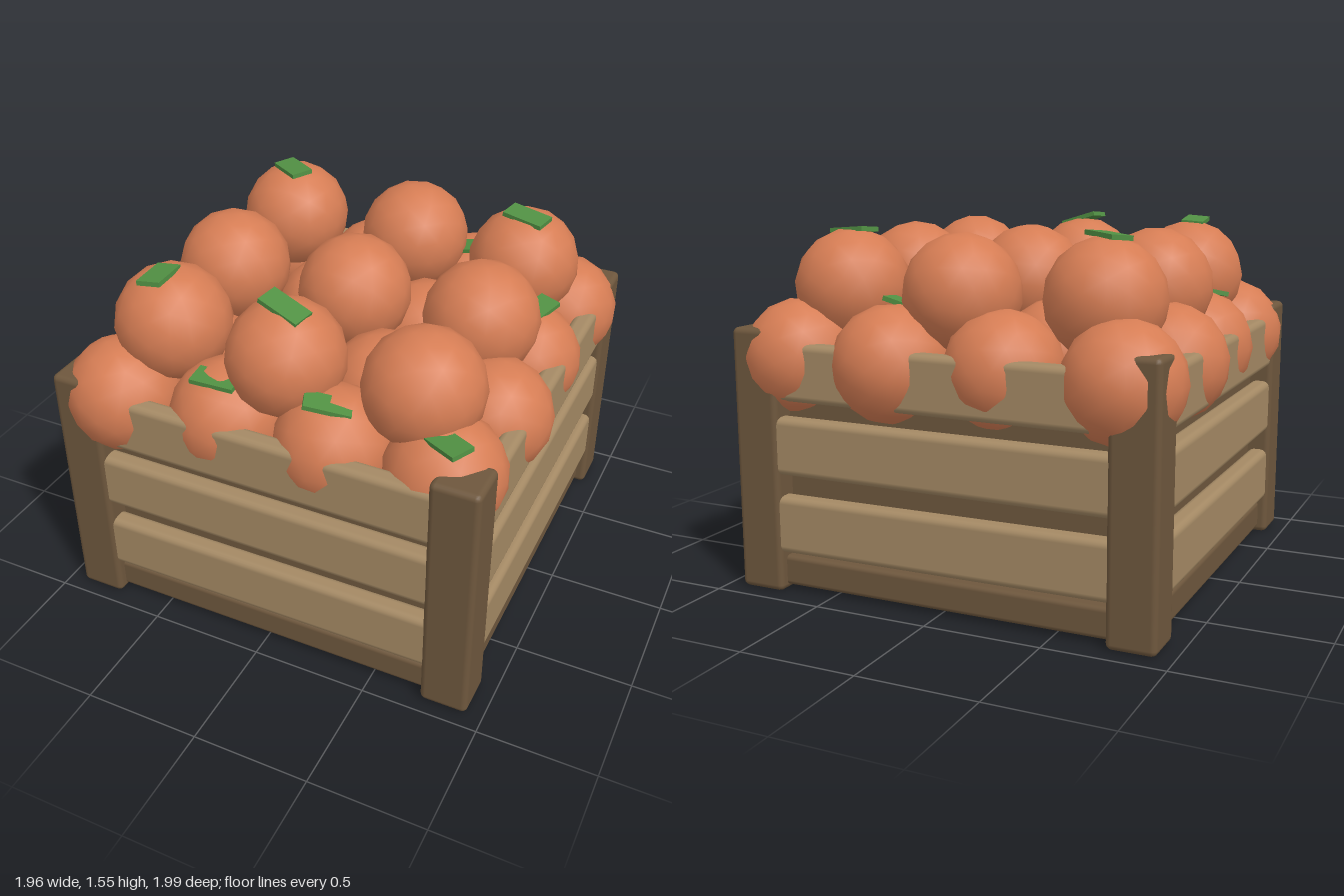
import * as THREE from 'three';
import { RoundedBoxGeometry } from 'three/addons/geometries/RoundedBoxGeometry.js';

const plankWood = new THREE.MeshStandardMaterial({ name: 'plank wood', color: 0xa48964 });
const postWood = new THREE.MeshStandardMaterial({ name: 'dark post wood', color: 0x6e573d });
const orangePeel = new THREE.MeshStandardMaterial({ name: 'orange peel', color: 0xd67d54 });
const leafGreen = new THREE.MeshStandardMaterial({ name: 'leaf green', color: 0x519043 });

function add(parent, name, geometry, material, x, y, z) {
  const mesh = new THREE.Mesh(geometry, material);
  mesh.name = name;
  mesh.position.set(x, y, z);
  parent.add(mesh);
  return mesh;
}

function buildCrate() {
  const crate = new THREE.Group();
  crate.name = 'crate';
  crate.position.z = 0.008;

  // Corner posts
  const post = new RoundedBoxGeometry(0.205, 1.12, 0.2, 2, 0.025);
  for (const sx of [-1, 1]) for (const sz of [-1, 1])
    add(crate, 'cornerPost', post, postWood, sx * 0.83, 0.56, sz * 0.832);

  // Floor slab and the dark lining seen between the planks
  add(crate, 'floor', new RoundedBoxGeometry(1.78, 0.13, 1.78, 2, 0.02), postWood, 0, 0.085, 0);
  add(crate, 'lining', new THREE.BoxGeometry(1.66, 0.72, 1.66), postWood, 0, 0.47, 0);

  // Three slightly crooked planks on each side
  const plank = new RoundedBoxGeometry(1.56, 0.245, 0.09, 2, 0.03);
  const tilts = [0.004, -0.003, -0.006];
  for (let side = 0; side < 4; side++) {
    const wall = new THREE.Group();
    wall.name = 'plankWall';
    wall.rotation.y = side * Math.PI / 2;
    [0.295, 0.627, 0.94].forEach((y, i) => {
      add(wall, 'plank', plank, plankWood, 0, y, 0.876).rotation.z = tilts[i] * (side % 2 ? -1 : 1);
    });
    crate.add(wall);
  }
  return crate;
}

// Fruit centres as [x, z]
const lowerLayer = [
  [-0.725, -0.74], [-0.21, -0.70], [0.27, -0.75], [0.725, -0.72],
  [-0.735, -0.23], [-0.25, -0.24], [0.24, -0.23], [0.705, -0.225],
  [-0.705, 0.25], [-0.24, 0.24], [0.25, 0.25], [0.735, 0.24],
  [-0.715, 0.745], [-0.24, 0.70], [0.235, 0.70], [0.70, 0.685],
];
const upperLayer = [
  [-0.58, -0.56], [0.025, -0.595], [0.57, -0.55],
  [-0.585, 0.02], [0, 0.01], [0.575, 0],
  [-0.565, 0.56], [-0.015, 0.61], [0.56, 0.58],
];

// Leaves as [x, y, z, heading in degrees, lengthwise tilt]
const leaves = [
  [-0.575, 1.515, -0.525, -35, 0.05], [0.58, 1.505, -0.52, -13, -0.08],
  [-0.57, 1.515, 0.63, -83, 0.08], [0, 1.51, 0.635, -12, -0.28],
  [0.24, 1.22, -0.66, 0, 0.25], [0.74, 1.22, -0.24, 70, 0.15],
  [-0.72, 1.225, 0.30, 38, 0.2], [-0.24, 1.225, 0.295, -17, 0.15],
  [-0.24, 1.2, 0.78, 2, 0], [0.245, 1.215, 0.77, 22, -0.25],
  [0.74, 1.205, 0.79, -30, 0.08],
];

function buildFruit() {
  const pile = new THREE.Group();
  pile.name = 'fruitPile';
  const sphere = new THREE.IcosahedronGeometry(0.247, 2);
  const place = (y) => ([x, z], i) => {
    add(pile, 'orange', sphere, orangePeel, x, y, z).rotation.set(i * 1.3, i * 2.1, i * 0.7);
  };
  lowerLayer.forEach(place(0.985));
  upperLayer.forEach(place(1.27));

  // Flat leaf resting on top of a fruit
  const leaf = new THREE.BoxGeometry(0.19, 0.02, 0.1);
  for (const [x, y, z, heading, tilt] of leaves) {
    const mesh = add(pile, 'leaf', leaf, leafGreen, x, y, z);
    mesh.rotation.set(0.08, heading * Math.PI / 180, tilt, 'YXZ');
  }
  return pile;
}

export function createModel() {
  const model = new THREE.Group();
  model.name = 'crateOfOranges';
  model.add(buildCrate(), buildFruit());
  return model;
}
